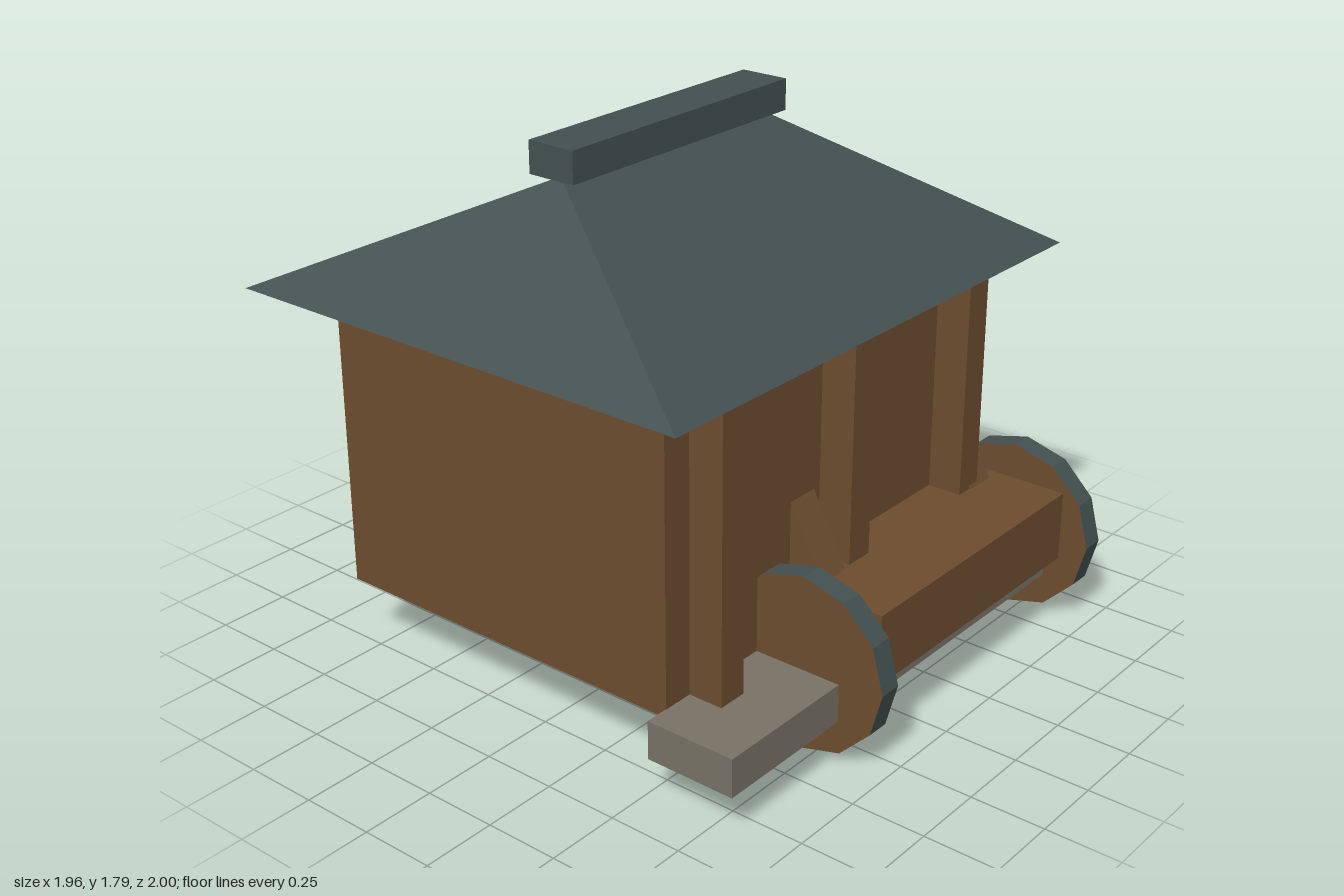
import * as THREE from 'three';

export function createModel() {
  const model = new THREE.Group();
  model.name = 'hutWithCart';

  const flat = (name, color) =>
    new THREE.MeshStandardMaterial({ name, color, flatShading: true, side: THREE.DoubleSide });
  const wood = flat('wood', 0x6b4c2e);
  const slate = flat('slate', 0x435050);
  const stone = flat('stone', 0x777165);

  const add = (name, geometry, material, parent = model) => {
    const mesh = new THREE.Mesh(geometry, material);
    mesh.name = name;
    parent.add(mesh);
    return mesh;
  };

  // Box between two limits on each axis; openBelow leaves out the underside
  const box = (name, [x0, x1], [y0, y1], [z0, z1], material, openBelow = false) => {
    const g = new THREE.BoxGeometry(x1 - x0, y1 - y0, z1 - z0);
    if (openBelow) {
      const index = Array.from(g.index.array);
      index.splice(18, 6);
      g.setIndex(index);
      g.clearGroups();
    }
    g.translate((x0 + x1) / 2, (y0 + y1) / 2, (z0 + z1) / 2);
    return add(name, g, material);
  };

  // Hut walls, front posts and the stone step
  box('walls', [-0.79, 0.79], [0.25, 1.28], [-0.8, 0.53], wood, true);
  for (const x of [-0.63, 0, 0.625]) {
    box('frontPost', [x - 0.052, x + 0.052], [0.26, 1.28], [0.53, 0.65], wood);
  }
  box('step', [-0.87, 0.87], [0.15, 0.28], [0.528, 0.84], stone, true);

  // Hipped roof shell, open underneath, with a ridge beam
  const ridgeZ = -0.135;
  const corners = [[-0.98, 0.73], [0.98, 0.73], [0.98, -1], [-0.98, -1]]
    .map(([x, z]) => [x, 1.28, z]);
  const [fl, fr, br, bl] = corners;
  const rl = [-0.47, 1.69, ridgeZ];
  const rr = [0.47, 1.69, ridgeZ];
  const faces = [fl, fr, rr, fl, rr, rl, fr, br, rr, br, bl, rl, br, rl, rr, bl, fl, rl];
  const roof = new THREE.BufferGeometry();
  roof.setAttribute('position', new THREE.Float32BufferAttribute(faces.flat(), 3));
  roof.computeVertexNormals();
  add('roof', roof, slate);
  box('ridgeBeam', [-0.51, 0.51], [1.69, 1.795], [ridgeZ - 0.087, ridgeZ + 0.087], slate);

  // Cart body, partly under the hut
  const cartX = 0.275;
  const cartZ = 0.14;
  box('cartBody', [cartX - 0.525, cartX + 0.525], [0.25, 0.49], [cartZ - 0.77, cartZ + 0.77], wood, true);

  for (const sx of [-1, 1]) {
    for (const sz of [-1, 1]) {
      // Wheel with slate rim and wooden faces
      const g = new THREE.CylinderGeometry(0.297, 0.297, 0.08, 12);
      g.rotateZ(-Math.PI / 2);
      const wheel = add('wheel', g, [slate, wood, wood]);
      wheel.position.set(cartX + sx * 0.595, 0.3, cartZ + sz * 0.56);

      // Leaning stake, its lower end just through the cart top
      const s = new THREE.BoxGeometry(0.118, 0.42, 0.12);
      s.translate(0, 0.21, 0);
      const stake = add('stake', s, wood);
      stake.position.set(cartX + sx * 0.415, 0.43, cartZ + sz * 0.48);
      stake.rotation.x = -sz * 0.49;
    }
  }

  return model;
}
